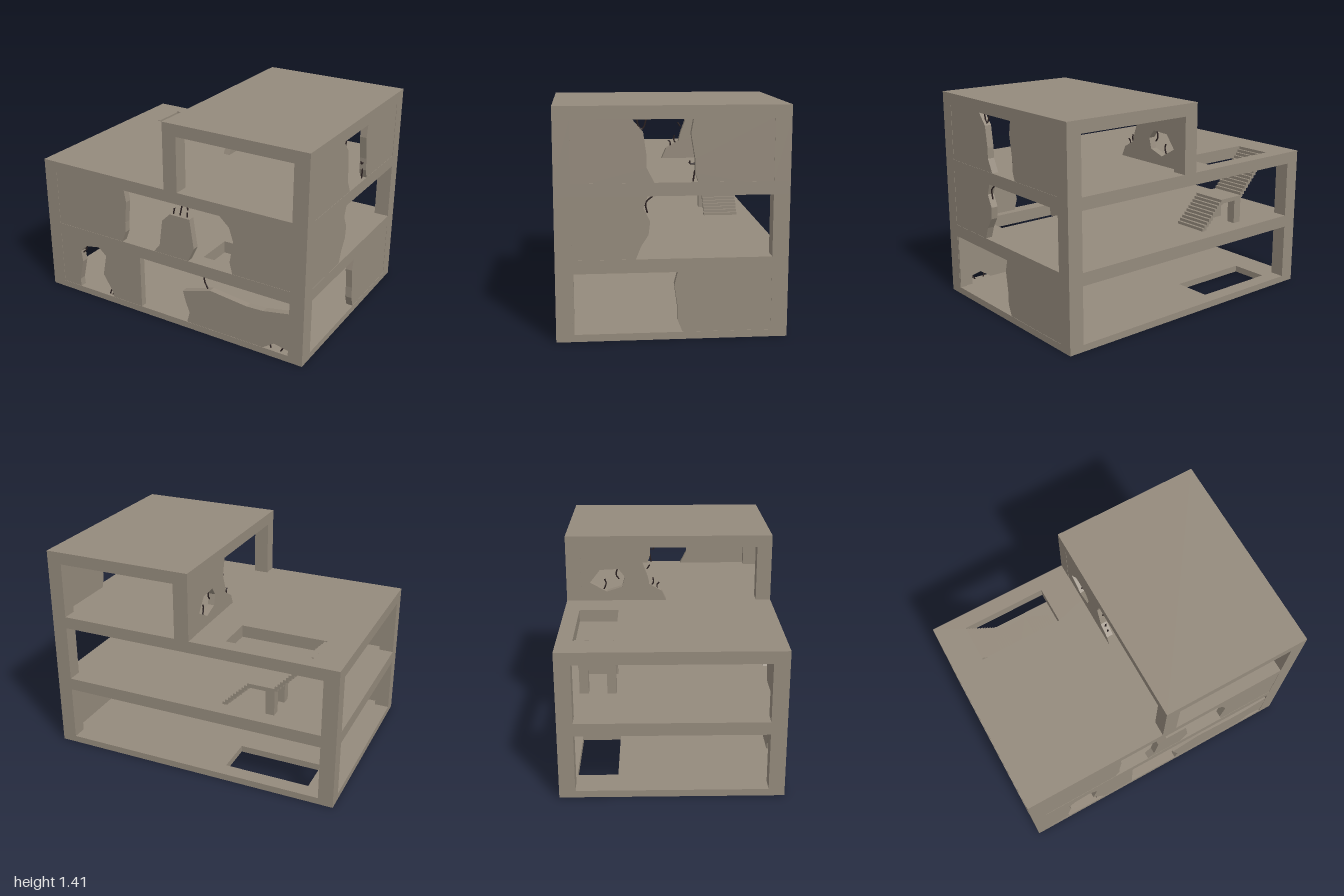
import * as THREE from 'three';

const concrete = new THREE.MeshStandardMaterial({ color: 0x948a7c });
concrete.name = 'concrete';
const steel = new THREE.MeshStandardMaterial({ color: 0x2c2222 });
steel.name = 'dark steel';

const T = 0.045; // wall panel thickness
const shapeOf = (pts) => new THREE.Shape(pts.map(([a, b]) => new THREE.Vector2(a, b)));
const rect = (a0, b0, a1, b1) => [[a0, b0], [a1, b0], [a1, b1], [a0, b1]];

export function createModel() {
  const model = new THREE.Group();
  model.name = 'ruinedBuilding';

  const box = (name, x0, x1, y0, y1, z0, z1) => {
    const m = new THREE.Mesh(new THREE.BoxGeometry(x1 - x0, y1 - y0, z1 - z0), concrete);
    m.position.set((x0 + x1) / 2, (y0 + y1) / 2, (z0 + z1) / 2);
    m.name = name;
    model.add(m);
  };

  // Floor slab, optionally with a rectangular stair opening [x0, z0, x1, z1]
  const slab = (name, x0, y0, y1, hole) => {
    const s = shapeOf(rect(x0, -0.7, 1, 0.7));
    if (hole) s.holes.push(shapeOf(rect(hole[0], -hole[3], hole[2], -hole[1])));
    const m = new THREE.Mesh(new THREE.ExtrudeGeometry(s, { depth: y1 - y0, bevelEnabled: false }), concrete);
    m.rotation.x = -Math.PI / 2;
    m.position.y = y0;
    m.name = name;
    model.add(m);
  };
  slab('groundSlab', -1, 0, 0.045, [-0.8, -0.6, -0.22, -0.34]);
  slab('firstFloorSlab', -1, 0.42, 0.503, [0.22, 0.34, 0.8, 0.6]);
  slab('secondFloorSlab', -1, 0.883, 0.963, [-0.8, -0.6, -0.22, -0.34]);
  slab('roofSlab', -0.01, 1.335, 1.415);

  // Corner columns of each storey
  for (const [xa, y0, y1] of [[-1, 0.045, 0.42], [-1, 0.503, 0.883], [-0.01, 0.963, 1.335]])
    for (const x of [xa, 0.9])
      for (const z of [-0.7, 0.6]) box('cornerColumn', x, x + 0.1, y0, y1, z, z + 0.1);

  // Broken wall panels: a sheet with ragged holes and bent bars, facing front or side
  const wall = (name, facing, offset, outline, holes, bars) => {
    const g = new THREE.Group();
    g.name = name;
    const s = shapeOf(outline);
    holes.forEach((h) => s.holes.push(shapeOf(h)));
    const panel = new THREE.Mesh(new THREE.ExtrudeGeometry(s, { depth: T, bevelEnabled: false }), concrete);
    panel.name = name + 'Panel';
    g.add(panel);
    for (const pts of bars) {
      const curve = new THREE.CatmullRomCurve3(pts.map(([a, b]) => new THREE.Vector3(a, b, T / 2)));
      const bar = new THREE.Mesh(new THREE.TubeGeometry(curve, 6, 0.005, 5), steel);
      bar.name = 'reinforcingBar';
      g.add(bar);
    }
    if (facing === 'side') {
      g.rotation.y = -Math.PI / 2;
      g.position.x = offset;
    } else g.position.z = offset;
    model.add(g);
  };

  const frontZ = 0.698 - T;
  wall('groundFrontWall', 'front', frontZ, rect(-0.95, 0.02, 0.95, 0.46), [
    [[-0.75, 0.045], [-0.755, 0.1], [-0.72, 0.25], [-0.73, 0.33], [-0.68, 0.38], [-0.57, 0.4],
      [-0.51, 0.35], [-0.52, 0.3], [-0.54, 0.2], [-0.47, 0.09], [-0.46, 0.045]],
    [[-0.22, 0.045], [-0.22, 0.42], [0.9, 0.42], [0.9, 0.345], [0.72, 0.31], [0.6, 0.305],
      [0.33, 0.335], [0.12, 0.27], [0.14, 0.2], [0.17, 0.12], [0.15, 0.045]],
    [[0.72, 0.045], [0.8, 0.1], [0.9, 0.08], [0.9, 0.045]],
  ], [
    [[-0.73, 0.31], [-0.7, 0.34], [-0.7, 0.38]],
    [[-0.57, 0.4], [-0.52, 0.36], [-0.515, 0.3]],
    [[-0.51, 0.04], [-0.5, 0.07], [-0.475, 0.1]],
    [[-0.49, 0.04], [-0.47, 0.065]],
    [[0.3, 0.33], [0.275, 0.38], [0.275, 0.42]],
    [[0.77, 0.04], [0.76, 0.08]],
    [[0.835, 0.04], [0.865, 0.09]],
  ]);
  wall('upperFrontWall', 'front', frontZ, rect(-0.95, 0.46, 0.95, 0.92), [
    [[-0.36, 0.503], [-0.33, 0.58], [-0.33, 0.65], [-0.315, 0.8], [-0.33, 0.883], [0.4, 0.883],
      [0.47, 0.82], [0.5, 0.73], [0.475, 0.58], [0.495, 0.503], [0.165, 0.503], [0.21, 0.6],
      [0.195, 0.7], [0.18, 0.8], [0.03, 0.8], [-0.03, 0.74], [-0.055, 0.56], [-0.1, 0.503]],
  ], [
    [[0.045, 0.8], [0.055, 0.845]],
    [[0.095, 0.8], [0.115, 0.885]],
    [[0.15, 0.885], [0.155, 0.85]],
    [[0.15, 0.8], [0.15, 0.835]],
  ]);

  const rightX = 0.998;
  wall('groundRightWall', 'side', rightX, rect(-0.65, 0.02, 0.65, 0.46), [
    [[0.59, 0.045], [0.59, 0.42], [-0.03, 0.42], [-0.01, 0.34], [-0.03, 0.2], [-0.03, 0.12], [-0.06, 0.045]],
  ], []);
  wall('upperRightWall', 'side', rightX,
    [[0.65, 0.48], [0.22, 0.48], [0.22, 0.503], [0.19, 0.58], [0.145, 0.65], [0.135, 0.73],
      [0.175, 0.81], [0.15, 0.883], [0.15, 0.92], [0.65, 0.92]], [],
    [[[0.11, 0.885], [0.16, 0.84], [0.15, 0.78]]]);
  wall('topRightWall', 'side', rightX, rect(-0.65, 0.92, 0.65, 1.37), [
    [[0.24, 1.335], [0.175, 1.26], [0.155, 1.12], [0.155, 1.05], [0.11, 0.963], [-0.15, 0.963],
      [-0.13, 1.02], [-0.13, 1.1], [-0.105, 1.25], [-0.12, 1.335]],
  ], [
    [[0.21, 1.335], [0.2, 1.29], [0.18, 1.27]],
    [[0.155, 1.335], [0.175, 1.28], [0.2, 1.28]],
    [[-0.12, 0.96], [-0.13, 1.03]],
    [[-0.13, 1.07], [-0.1, 1.07], [-0.1, 1.09]],
  ]);
  wall('topLeftWall', 'side', -0.008 + T,
    [[-0.65, 0.92], [-0.02, 0.92], [-0.02, 0.963], [-0.05, 1.03], [-0.135, 1.08], [-0.15, 1.14],
      [-0.18, 1.22], [-0.15, 1.335], [-0.15, 1.37], [-0.65, 1.37]],
    [[[-0.54, 1.09], [-0.424, 1.026], [-0.32, 1.06], [-0.3, 1.13], [-0.344, 1.186], [-0.47, 1.18]]],
    [
      [[-0.08, 1.04], [-0.08, 1.07], [-0.065, 1.085]],
      [[-0.12, 1.06], [-0.105, 1.09], [-0.11, 1.12]],
      [[-0.15, 1.18], [-0.13, 1.21]],
      [[-0.45, 1.03], [-0.43, 1.08], [-0.44, 1.11]],
      [[-0.35, 1.19], [-0.36, 1.14], [-0.34, 1.11]],
    ]);

  // Straight stair: two flights of thin steps with a landing on posts
  const flight = (name, xStart, yStart, run, rise, count) => {
    for (let i = 0; i < count; i++) {
      const x = xStart - run * (i + 1), y = yStart + rise * (i + 1);
      box(name, x, x + run, Math.max(0.5, y - 0.035), y, -0.59, -0.35);
    }
  };
  flight('lowerStep', -0.19, 0.503, 0.019, 0.019, 10);
  box('landing', -0.55, -0.38, 0.665, 0.693, -0.59, -0.35);
  flight('upperStep', -0.55, 0.693, 0.0179, 0.0193, 14);
  for (const z of [-0.59, -0.41]) box('landingPost', -0.55, -0.49, 0.5, 0.67, z, z + 0.06);

  return model;
}
